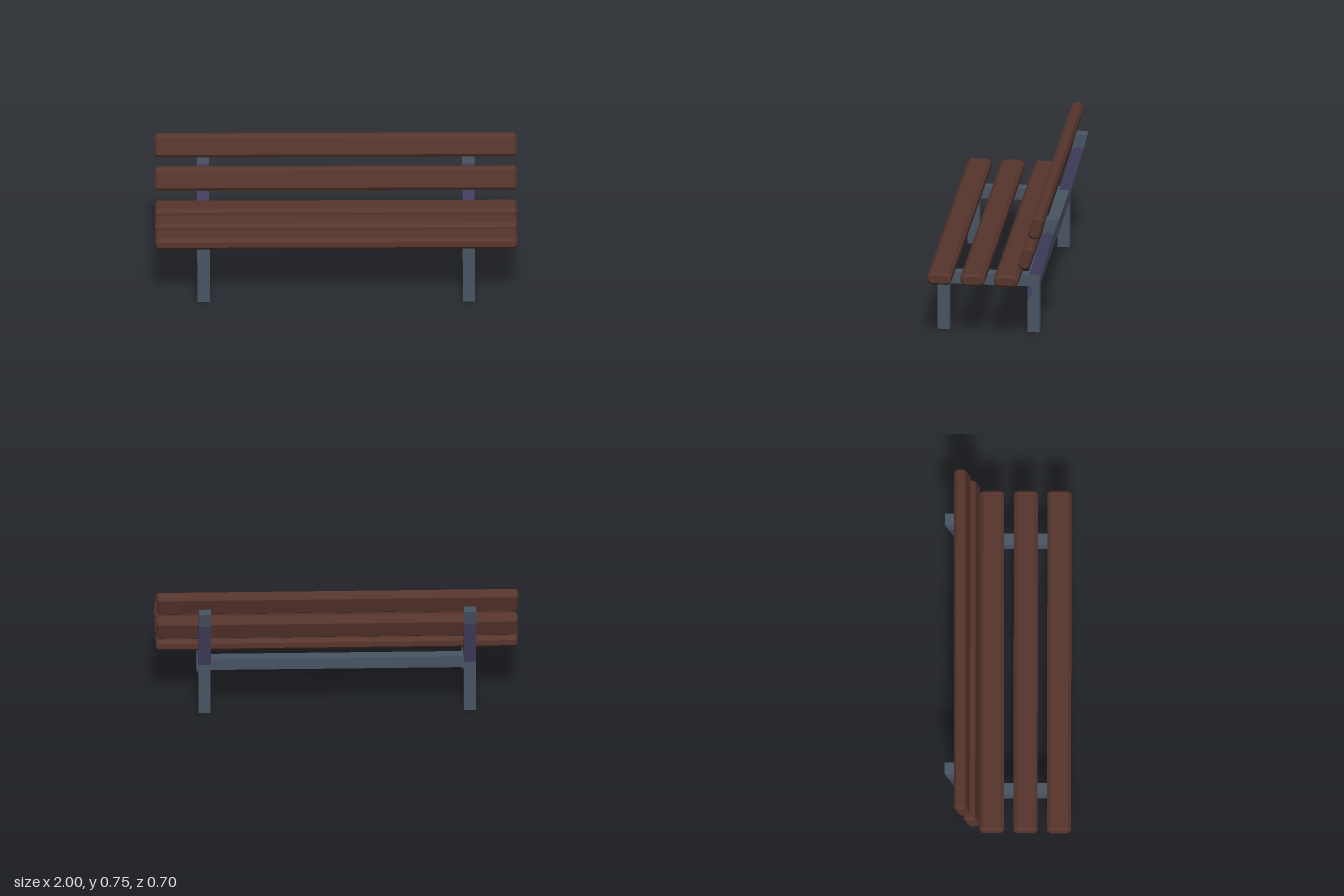
import * as THREE from 'three';

const material = (name, color) => {
  const m = new THREE.MeshStandardMaterial({ color });
  m.name = name;
  return m;
};

// Extrude a side profile of [z, y] points across x, centred on x = 0
function sideProfile(points, width) {
  const shape = new THREE.Shape(points.map(([z, y]) => new THREE.Vector2(z, y)));
  const g = new THREE.ExtrudeGeometry(shape, { depth: width, bevelEnabled: false });
  return g.translate(0, 0, -width / 2).rotateY(-Math.PI / 2);
}

// Plank along x with chamfered edges and ends
function plankGeometry(length, height, depth) {
  const bevel = 0.012, cut = 0.011;
  const w = depth / 2 - bevel, h = height / 2 - bevel;
  const shape = new THREE.Shape([
    [w, cut - h], [w, h - cut], [w - cut, h], [cut - w, h],
    [-w, h - cut], [-w, cut - h], [cut - w, -h], [w - cut, -h],
  ].map(([x, y]) => new THREE.Vector2(x, y)));
  const g = new THREE.ExtrudeGeometry(shape, {
    depth: length - 2 * bevel, bevelEnabled: true,
    bevelSize: bevel, bevelThickness: bevel, bevelSegments: 1,
  });
  return g.translate(0, 0, bevel - length / 2).rotateY(Math.PI / 2);
}

export function createModel() {
  const group = new THREE.Group();
  group.name = 'bench';
  const wood = material('dark wood', 0x56352d);
  const steel = material('slate metal', 0x485462);
  const purple = material('purple metal', 0x444060);

  const add = (name, geometry, mat, x = 0, y = 0, z = 0, tilt = 0) => {
    const mesh = new THREE.Mesh(geometry, mat);
    mesh.name = name;
    mesh.position.set(x, y, z);
    mesh.rotation.x = tilt;
    group.add(mesh);
  };

  // Seat and backrest planks
  const plank = plankGeometry(2, 0.067, 0.133);
  for (const z of [0.283, 0.098, -0.089]) add('seatSlat', plank, wood, 0, 0.367, z);
  for (const [y, z] of [[0.506, -0.2], [0.685, -0.254]]) {
    add('backSlat', plank, wood, 0, y, z, Math.PI / 2 - 0.27);
  }

  // Side frames: two legs joined by the seat rail
  const frame = sideProfile([
    [0.317, 0], [0.317, 0.333], [-0.25, 0.333], [-0.25, 0],
    [-0.183, 0], [-0.183, 0.267], [0.25, 0.267], [0.25, 0],
  ], 0.067);
  // Leaning back posts, purple below an arched line and slate above
  const arch = [[-0.261, 0.567], [-0.28, 0.582], [-0.3, 0.586], [-0.316, 0.582], [-0.328, 0.575]];
  const lowerPost = sideProfile([[-0.193, 0.333], ...arch, [-0.25, 0.3], [-0.25, 0.333]], 0.067);
  const upperPost = sideProfile([[-0.284, 0.66], [-0.35, 0.66], ...arch.slice().reverse()], 0.067);
  for (const x of [-0.733, 0.733]) {
    add('sideFrame', frame, steel, x);
    add('lowerBackPost', lowerPost, purple, x);
    add('upperBackPost', upperPost, steel, x);
  }

  // Rear rail between the frames
  add('rearRail', new THREE.BoxGeometry(1.4, 0.066, 0.067), steel, 0, 0.3, -0.2165);

  // Small purple patch on the outside of one rear leg
  add('legPatch', sideProfile([
    [-0.183, 0.2], [-0.183, 0.267], [-0.203, 0.265], [-0.21, 0.24], [-0.203, 0.215], [-0.194, 0.2],
  ], 0.002), purple, 0.7668);

  return group;
}
